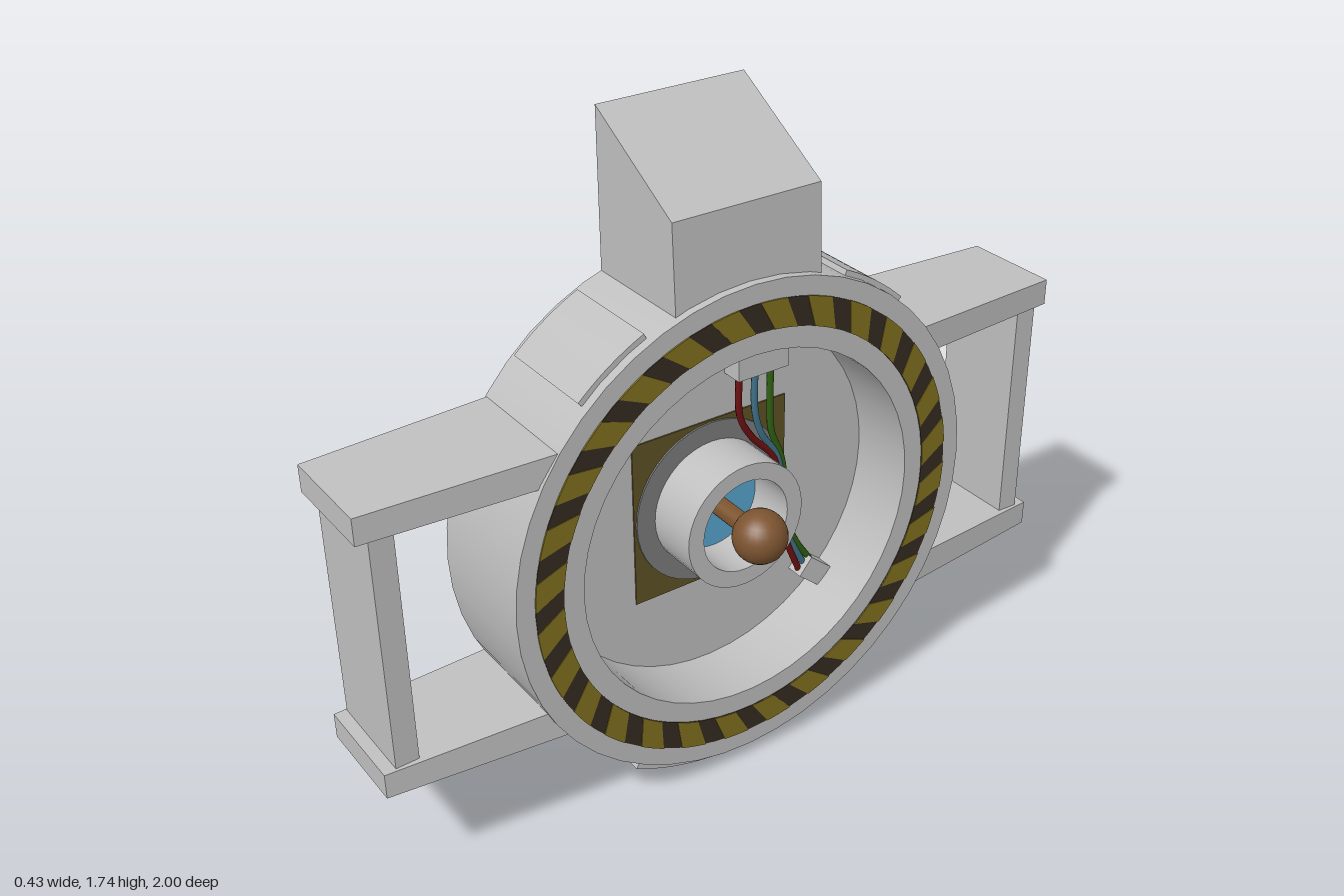
import * as THREE from 'three';
import { toCreasedNormals } from 'three/addons/utils/BufferGeometryUtils.js';

const CY = 0.705; // height of the drum axis, which runs along x
const FLOOR = -0.07; // x of the recessed floor
const FACE = 0.115; // x of the rim face

const paint = (name, color, side = THREE.FrontSide) => {
  const m = new THREE.MeshStandardMaterial({ color, side });
  m.name = name;
  return m;
};

export function createModel() {
  const model = new THREE.Group();
  model.name = 'wallSwitchDrum';

  const grey = paint('light grey', 0xbfbfbf);
  const darkGrey = paint('dark grey', 0x7c7c7c);
  const olive = paint('olive', 0x5d5126);
  const yellow = paint('hazard yellow', 0x80701f);
  const black = paint('hazard dark brown', 0x352b22);
  const blue = paint('blue', 0x58a6cf);
  const brown = paint('brown', 0x7d5430);
  const red = paint('wire red', 0x6e1010);
  const wireBlue = paint('wire blue', 0x3f7288);
  const green = paint('wire green', 0x2f5f10);

  const add = (name, geometry, material) => {
    const mesh = new THREE.Mesh(geometry, material);
    mesh.name = name;
    model.add(mesh);
    return mesh;
  };
  const box = (name, material, x0, x1, y0, y1, z0, z1) => {
    const mesh = add(name, new THREE.BoxGeometry(x1 - x0, y1 - y0, z1 - z0), material);
    mesh.position.set((x0 + x1) / 2, (y0 + y1) / 2, (z0 + z1) / 2);
    return mesh;
  };
  // Turned part on the x axis, from [radius, x] pairs
  const turned = (name, material, profile, segments) => {
    const points = profile.map(([r, x]) => new THREE.Vector2(r, x));
    const geo = toCreasedNormals(new THREE.LatheGeometry(points, segments), 0.6);
    geo.rotateZ(-Math.PI / 2).translate(0, CY, 0);
    return add(name, geo, material);
  };
  // Ring sector around the axis, extruded from x0 to x1; skew slants its ends
  const sector = (name, material, r0, r1, a0, a1, x0, x1, skew = 0) => {
    const shape = new THREE.Shape();
    shape.absarc(0, 0, r1, a0 + skew, a1 + skew, false);
    shape.absarc(0, 0, r0, a1, a0, true);
    shape.closePath();
    const geo = new THREE.ExtrudeGeometry(shape, { depth: x1 - x0, bevelEnabled: false, curveSegments: 10 });
    geo.translate(0, 0, x0).rotateY(Math.PI / 2).translate(0, CY, 0);
    return add(name, geo, material);
  };

  // Drum with a closed back and a recessed front
  turned('drum', grey, [
    [0, -0.215], [0.665, -0.215], [0.665, FACE], [0.485, FACE], [0.485, FLOOR], [0, FLOOR],
  ], 48);

  // Hazard ring: dark band with slanted yellow stripes
  turned('hazardRing', black, [[0.615, FACE], [0.615, FACE + 0.002], [0.54, FACE + 0.002], [0.54, FACE]], 64);
  const count = 28;
  const step = (Math.PI * 2) / count;
  for (let i = 0; i < count; i++) {
    sector('hazardStripe', yellow, 0.54, 0.615, i * step, (i + 0.55) * step, FACE, FACE + 0.004, 0.08);
  }

  // Floor plate and hub
  box('floorPlate', olive, FLOOR, FLOOR + 0.004, CY - 0.23, CY + 0.23, -0.23, 0.23);
  turned('hubBase', darkGrey, [[0.225, FLOOR], [0.225, FLOOR + 0.009], [0, FLOOR + 0.009]], 40);
  turned('hub', grey, [[0.172, FLOOR], [0.172, 0.085], [0.127, 0.085], [0.127, FLOOR]], 40);
  turned('hubFloor', blue, [[0.13, FLOOR], [0.13, -0.05], [0, -0.05]], 40);

  // Lever with a ball knob
  turned('leverRod', brown, [[0.025, -0.05], [0.025, 0.12]], 16);
  add('leverKnob', new THREE.SphereGeometry(0.07, 24, 16), brown).position.set(0.142, CY, 0);

  // Connectors and three wires lying on the floor
  box('upperConnector', grey, FLOOR, -0.01, 1.05, 1.14, -0.195, -0.045);
  const plug = box('lowerConnector', grey, FLOOR, -0.02, 0.355, 0.415, -0.355, -0.265);
  plug.rotation.x = -0.7;
  [[red, 'redWire', -1], [wireBlue, 'blueWire', 0], [green, 'greenWire', 1]].forEach(([mat, name, k]) => {
    const path = [
      [1.06, -0.117 - 0.048 * k], [0.93, -0.119 - 0.046 * k], [0.86, -0.14 - 0.03 * k],
      [0.78, -0.19 - 0.011 * k], [0.7, -0.207 - 0.008 * k], [0.58, -0.212 - 0.01 * k],
      [0.49, -0.245 - 0.014 * k], [0.4 + 0.014 * k, -0.291 - 0.017 * k],
    ].map(([y, z]) => new THREE.Vector3(-0.043, y, z));
    add(name, new THREE.TubeGeometry(new THREE.CatmullRomCurve3(path), 40, 0.009, 8), mat);
  });

  // Top block with a sloping roof
  const block = new THREE.Shape([
    [-0.215, 1.25], [0.098, 1.25], [0.085, 1.56], [-0.215, 1.74],
  ].map(([x, y]) => new THREE.Vector2(x, y)));
  const blockGeo = new THREE.ExtrudeGeometry(block, { depth: 0.41, bevelEnabled: false });
  add('topBlock', blockGeo.translate(0, 0, -0.205), grey);

  // Raised pads on the drum
  const deg = Math.PI / 180;
  sector('upperPad', grey, 0.64, 0.678, 47 * deg, 65 * deg, -0.19, 0.09);
  sector('upperPad', grey, 0.64, 0.678, 115 * deg, 133 * deg, -0.19, 0.09);
  sector('lowerPad', grey, 0.64, 0.705, 242 * deg, 298 * deg, -0.17, 0.07);

  // Side frames: tapered arms joined by a post
  const arm = (name, side, inner, outer) => {
    const geo = new THREE.BoxGeometry(1, 1, 1);
    const p = geo.attributes.position;
    for (let i = 0; i < p.count; i++) {
      const atEnd = p.getZ(i) * side > 0;
      const [low, high] = atEnd ? outer : inner;
      p.setXYZ(i, p.getX(i) < 0 ? -0.21 : atEnd ? 0.06 : 0.112,
        p.getY(i) < 0 ? low : high, side * (atEnd ? 1 : 0.5));
    }
    geo.computeVertexNormals();
    add(name, geo, grey);
  };
  for (const side of [1, -1]) {
    arm('upperArm', side, [1.03, 1.107], [1.018, 1.088]);
    arm('lowerArm', side, [0.325, 0.41], [0.325, 0.393]);
    box('framePost', grey, -0.205, 0.055, 0.36, 1.04, side * 0.938 - 0.03, side * 0.938 + 0.03);
  }

  return model;
}
